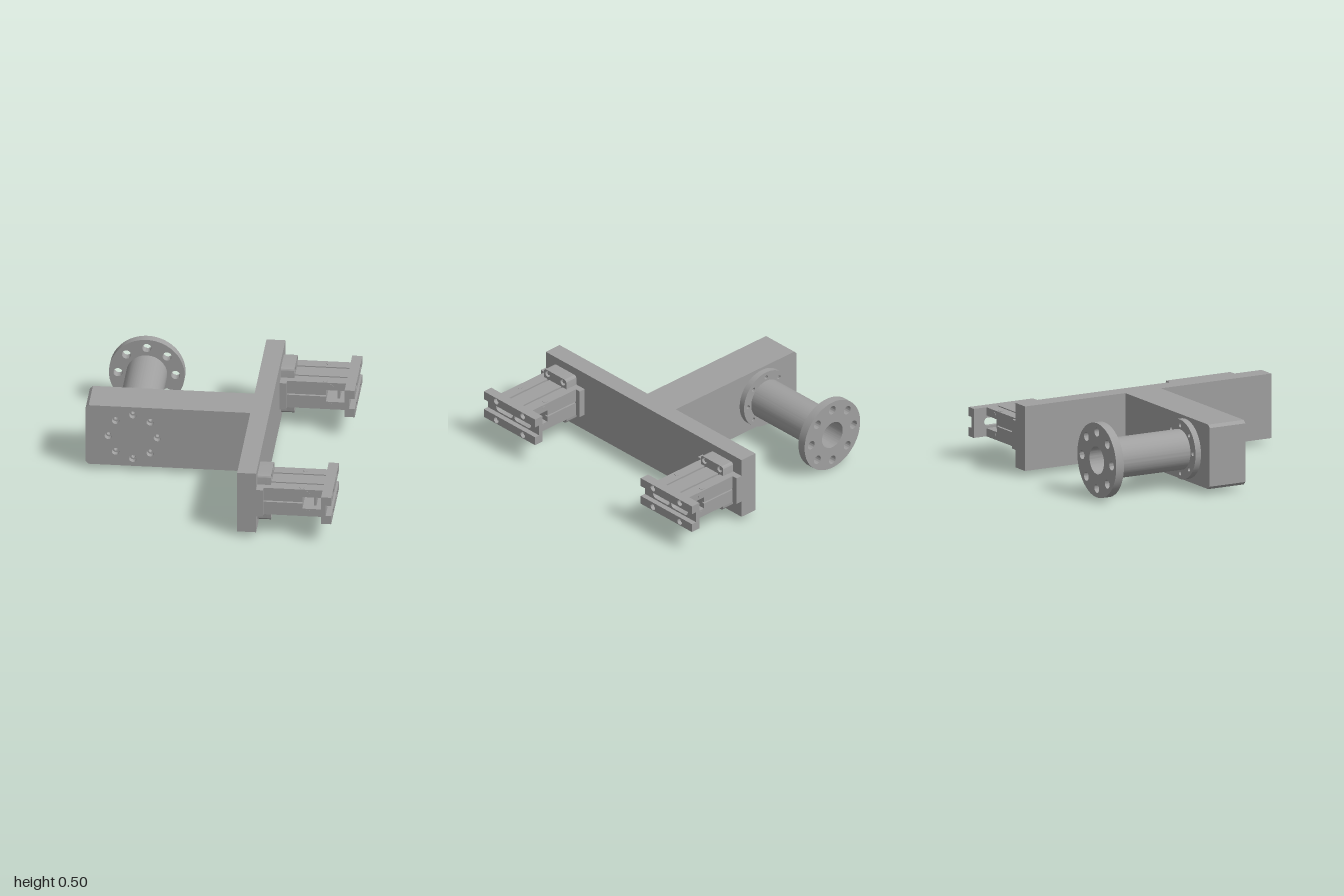
import * as THREE from 'three';
import { toCreasedNormals } from 'three/addons/utils/BufferGeometryUtils.js';

const steel = new THREE.MeshStandardMaterial({ color: 0xa0a0a0 });
steel.name = 'grey steel';

const CY = 0.253; // height of every main axis

function add(parent, name, geometry, x = 0, y = 0, z = 0) {
  const mesh = new THREE.Mesh(geometry, steel);
  mesh.name = name;
  mesh.position.set(x, y, z);
  parent.add(mesh);
  return mesh;
}

const box = (x0, x1, y0, y1, z0, z1) =>
  new THREE.BoxGeometry(x1 - x0, y1 - y0, z1 - z0)
    .translate((x0 + x1) / 2, (y0 + y1) / 2, (z0 + z1) / 2);

const polygon = (pts) => new THREE.Shape(pts.map(([x, y]) => new THREE.Vector2(x, y)));
const rect = (w, h, cx = 0, cy = 0) => polygon([
  [cx - w / 2, cy - h / 2], [cx + w / 2, cy - h / 2], [cx + w / 2, cy + h / 2], [cx - w / 2, cy + h / 2]]);

function circle(r, x = 0, y = 0) {
  const s = new THREE.Shape();
  s.absarc(x, y, r, 0, Math.PI * 2, false);
  return s;
}

// Rounded rectangle, a stadium when r is half the height
function rounded(w, h, r, cx = 0, cy = 0) {
  const s = new THREE.Shape(), a = w / 2 - r, b = h / 2 - r, q = Math.PI / 2;
  s.absarc(cx + a, cy + b, r, 0, q, false);
  s.absarc(cx - a, cy + b, r, q, 2 * q, false);
  s.absarc(cx - a, cy - b, r, 2 * q, 3 * q, false);
  s.absarc(cx + a, cy - b, r, 3 * q, 4 * q, false);
  s.closePath();
  return s;
}

// Extrusion from z0 to z1, smooth on round walls
function extrudeZ(shape, z0, z1, holes = [], segments = 24) {
  shape.holes.push(...holes);
  const g = new THREE.ExtrudeGeometry(shape, { depth: z1 - z0, bevelEnabled: false, curveSegments: segments });
  return toCreasedNormals(g.translate(0, 0, z0), 0.6);
}
// Extrusion from x0 to x1; the shape lies in the (-z, y) plane
const extrudeX = (shape, x0, x1, holes = []) => extrudeZ(shape, x0, x1, holes, 10).rotateY(Math.PI / 2);

// Eight holes on a circle
const boltCircle = (R, r, x = 0, y = 0) => Array.from({ length: 8 }, (_, i) =>
  circle(r, x + R * Math.cos(i * Math.PI / 4), y + R * Math.sin(i * Math.PI / 4)));

function createFrame() {
  const g = new THREE.Group();
  g.name = 'frame';
  const arm = () => polygon([
    [-0.837, 0.037], [0.23, 0.037], [0.23, 0.472], [-0.837, 0.472], [-0.857, 0.452], [-0.857, 0.057]]);
  // Counterbored holes run right through the arm
  add(g, 'armFront', extrudeZ(arm(), 0.06, 0.097, boltCircle(0.162, 0.025, -0.545, CY)));
  add(g, 'armBack', extrudeZ(arm(), -0.175, 0.06, boltCircle(0.162, 0.014, -0.545, CY)));
  add(g, 'crossPlate', box(0.23, 0.355, 0.037, 0.472, -0.94, 0.94));
  return g;
}

function createColumn() {
  const g = new THREE.Group();
  g.name = 'flangedColumn';
  g.position.set(-0.545, CY, 0);
  const R = 0.135, bore = 0.093, z0 = -0.8, z1 = -0.21, w = 0.3, q = Math.PI / 2;
  add(g, 'baseFlange', extrudeZ(circle(0.2), -0.217, -0.175, [...boltCircle(0.162, 0.014), circle(bore)], 64));
  add(g, 'endFlange', extrudeZ(circle(0.25), -0.852, -0.793, [...boltCircle(0.19, 0.03), circle(bore)], 64));

  // Main wall of the tube, open in a strip along the bottom
  const wall = new THREE.Shape();
  wall.absarc(0, 0, R, -q + w, 3 * q - w, false);
  wall.absarc(0, 0, bore, 3 * q - w, -q + w, true);
  wall.closePath();
  add(g, 'tubeWall', extrudeZ(wall, z0, z1, [], 64));

  // Bottom strip with a long slot, bent round the tube axis
  const pts = [], n = 8, half = w * R;
  for (let i = 0; i <= n; i++) pts.push([-half + 2 * half * i / n, z0]);
  for (let i = n; i >= 0; i--) pts.push([-half + 2 * half * i / n, z1]);
  const strip = polygon(pts);
  strip.holes.push(rounded(0.06, 0.24, 0.03, 0, -0.54));
  const bent = new THREE.ExtrudeGeometry(strip, { depth: R - bore, bevelEnabled: false, curveSegments: 8 });
  const p = bent.attributes.position;
  for (let i = 0; i < p.count; i++) {
    const a = -q + p.getX(i) / R, r = bore + p.getZ(i);
    p.setXYZ(i, r * Math.cos(a), r * Math.sin(a), p.getY(i));
  }
  add(g, 'slottedStrip', toCreasedNormals(bent, 0.6));
  return g;
}

function createGripper(z) {
  const g = new THREE.Group();
  g.name = 'slideUnit';
  g.position.set(0, CY, z);
  const H = 0.098, W = 0.15, win = 0.043;

  // Mounting plate and the lugs above and below it
  add(g, 'mountPlate', box(0.355, 0.4, -H, H, -0.187, 0.187));
  const lugHoles = [];
  for (const a of [-0.073, 0.073]) for (const b of [-0.136, 0.136]) lugHoles.push([a, b]);
  add(g, 'lugBack', extrudeX(rounded(0.214, 0.33, 0.02), 0.355, 0.42));
  add(g, 'lugFront', extrudeX(rounded(0.214, 0.33, 0.02), 0.42, 0.445,
    lugHoles.map(([a, b]) => circle(0.022, a, b))));

  // Body profile with two long grooves top and bottom and one on each side
  const d = 0.018, s = 0.007, e = 0.065;
  const upper = [[W, H], [e + s, H], [e + s, H - d], [e - s, H - d], [e - s, H],
    [-e + s, H], [-e + s, H - d], [-e - s, H - d], [-e - s, H], [-W, H]];
  const flip = (list) => list.map(([a, b]) => [-a, -b]);
  const side = [[-W, 0.005], [-W + d, 0.005], [-W + d, -0.005], [-W, -0.005]];
  add(g, 'body', extrudeX(polygon([...upper, ...side, ...flip(upper), ...flip(side)]), 0.4, 0.657));

  // Jaws either side of the open window, and the rod plate inside it
  const jaw = [...upper, [-W, win], [W, win]];
  add(g, 'upperJaw', extrudeX(polygon(jaw), 0.657, 0.79));
  add(g, 'lowerJaw', extrudeX(polygon(flip(jaw)), 0.657, 0.79));
  add(g, 'rodPlate', box(0.73, 0.745, -win, win, -0.1, 0.1));

  // End bar: slotted web and two rails with bolt holes
  add(g, 'endWeb', extrudeX(rect(0.492, 2 * H), 0.79, 0.82,
    [-0.087, 0.087].map((a) => rounded(0.16, 0.054, 0.027, a, 0))));
  for (const k of [-1, 1]) {
    add(g, 'endRail', extrudeX(rect(0.492, H - 0.038, 0, k * (H + 0.038) / 2), 0.82, 0.857,
      [-0.128, 0.128].map((a) => circle(0.022, a, k * 0.072))));
  }

  // Bolts sunk in the rails and lugs
  const bolt = new THREE.CylinderGeometry(0.013, 0.013, 0.02, 16).rotateZ(-Math.PI / 2);
  for (const a of [-0.128, 0.128]) for (const b of [-0.072, 0.072]) add(g, 'railBolt', bolt, 0.827, b, a);
  for (const [a, b] of lugHoles) add(g, 'lugBolt', bolt, 0.425, b, a);

  // Flush plugs on the top, bottom and side faces
  const plug = new THREE.CylinderGeometry(0.017, 0.017, 0.006, 20);
  const sidePlug = plug.clone().rotateX(Math.PI / 2);
  for (const k of [-1, 1]) for (const m of [-1, 1]) {
    add(g, 'facePlug', plug, 0.65, k * (H - 0.001), m * 0.12);
    add(g, 'sidePlug', sidePlug, 0.69, k * 0.068, m * (W - 0.001));
  }
  return g;
}

export function createModel() {
  const model = new THREE.Group();
  model.name = 'gripperTool';
  model.add(createFrame(), createColumn(), createGripper(0.753), createGripper(-0.753));
  return model;
}
